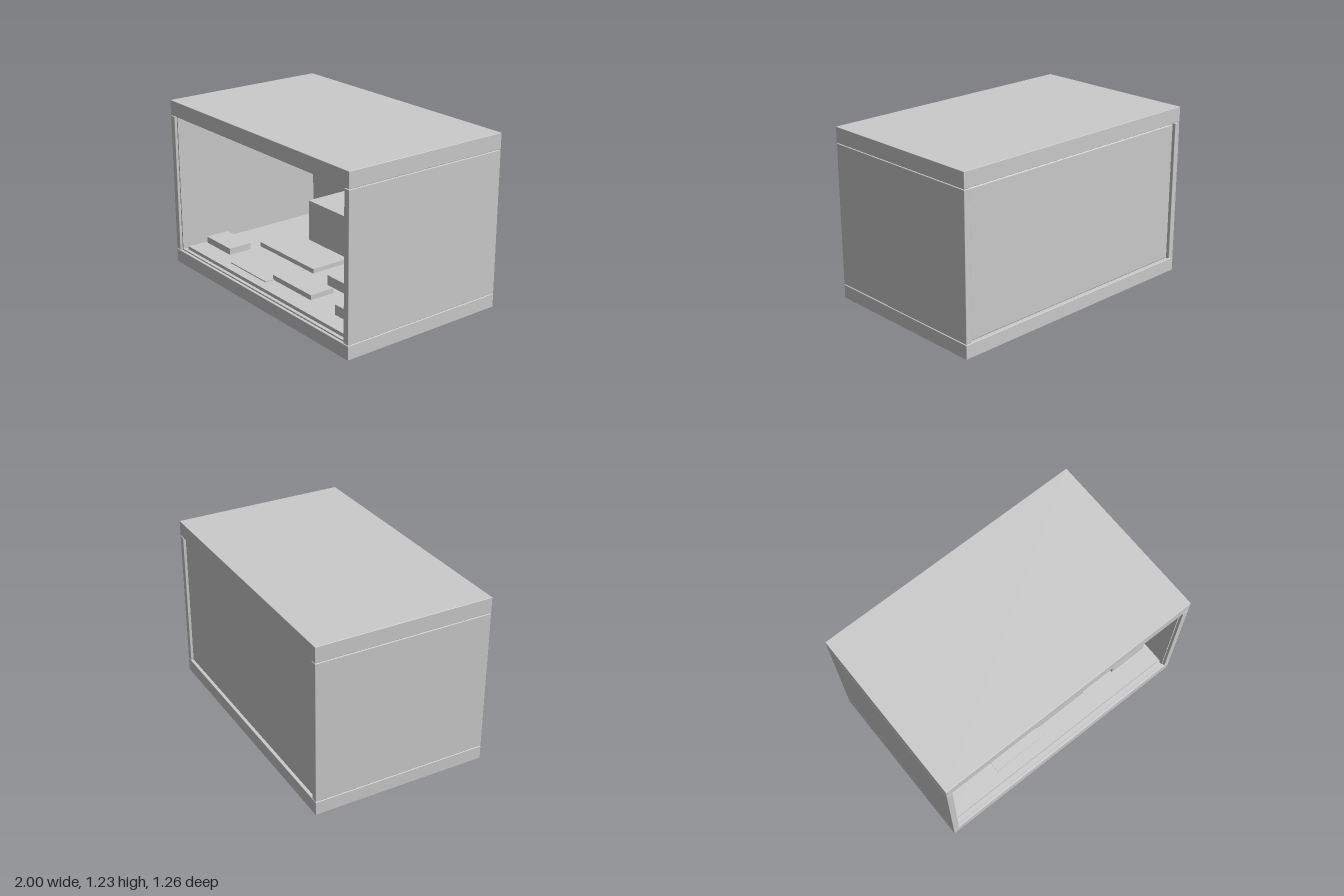
import * as THREE from 'three';
import { RoundedBoxGeometry } from 'three/addons/geometries/RoundedBoxGeometry.js';

export function createModel() {
  const group = new THREE.Group();
  const material = new THREE.MeshStandardMaterial({ color: 0xcccccc });

  const add = (name, geometry) => {
    const mesh = new THREE.Mesh(geometry, material);
    mesh.name = name;
    group.add(mesh);
    return mesh;
  };

  // Box given by its limits on each axis, with an optional rounded edge
  const box = (name, [x0, x1], [y0, y1], [z0, z1], radius = 0) => {
    const size = [x1 - x0, y1 - y0, z1 - z0];
    const geometry = radius
      ? new RoundedBoxGeometry(...size, 2, radius)
      : new THREE.BoxGeometry(...size);
    add(name, geometry).position.set((x0 + x1) / 2, (y0 + y1) / 2, (z0 + z1) / 2);
  };

  // Cabinet shell: base, roof and side walls with thin seams between them
  const depth = [-0.63, 0.63];
  box('base', [-1, 1], [0, 0.098], depth, 0.003);
  box('roof', [-1, 1], [1.12, 1.23], depth, 0.003);
  box('seamCore', [-0.99, -0.96], [0.09, 1.13], [-0.62, 0.62]);
  box('seamCore', [0.96, 0.99], [0.09, 1.13], [-0.62, 0.62]);
  for (const side of [-1, 1]) {
    const outer = side, inner = side * 0.955;
    box('sideWall', [Math.min(outer, inner), Math.max(outer, inner)], [0.103, 1.115], depth, 0.003);
  }

  // Recessed back panel with softened edges
  box('backPanel', [-0.95, 0.95], [0.105, 1.112], [-0.615, -0.59], 0.01);

  // Ceiling lining, lower at the back than at the front
  const ceiling = new THREE.Shape([
    new THREE.Vector2(-0.6, 1.04),
    new THREE.Vector2(0.58, 1.11),
    new THREE.Vector2(0.58, 1.125),
    new THREE.Vector2(-0.6, 1.125),
  ]);
  const lining = new THREE.ExtrudeGeometry(ceiling, { depth: 1.91, bevelEnabled: false });
  lining.rotateY(-Math.PI / 2);
  lining.translate(0.955, 0, 0);
  add('ceilingLining', lining);

  // Floor and the frame around the front opening
  box('floor', [-0.95, 0.95], [0.09, 0.112], [-0.6, 0.56]);
  box('frontRail', [-0.93, 0.93], [0.09, 0.125], [0.53, 0.575]);
  const frame = new THREE.Shape([
    new THREE.Vector2(-0.98, 0.03),
    new THREE.Vector2(0.98, 0.03),
    new THREE.Vector2(0.98, 1.2),
    new THREE.Vector2(-0.98, 1.2),
  ]);
  frame.holes.push(new THREE.Path([
    new THREE.Vector2(-0.945, 0.108),
    new THREE.Vector2(-0.945, 1.112),
    new THREE.Vector2(0.945, 1.112),
    new THREE.Vector2(0.945, 0.108),
  ]));
  const frameGeometry = new THREE.ExtrudeGeometry(frame, { depth: 0.025, bevelEnabled: false });
  frameGeometry.translate(0, 0, 0.585);
  add('frontFrame', frameGeometry);

  // Blocks and plates standing on the floor: name, x limits, top, z limits
  const contents = [
    ['tallBlock', [-0.5, -0.04], 0.43, [-0.59, -0.21]],
    ['mediumBlock', [0.06, 0.49], 0.35, [-0.59, -0.24]],
    ['leftBlock', [-0.93, -0.63], 0.16, [0.23, 0.41]],
    ['longPlate', [-0.63, 0.01], 0.145, [-0.17, 0.14]],
    ['thinPlate', [-0.5, -0.07], 0.12, [0.15, 0.49]],
    ['frontPlate', [-0.08, 0.35], 0.148, [0.23, 0.42]],
    ['wideBlock', [0.22, 0.8], 0.185, [-0.2, 0.18]],
    ['rightBlock', [0.62, 0.92], 0.185, [0.25, 0.43]],
  ];
  for (const [name, x, top, z] of contents) box(name, x, [0.1, top], z);

  // Thin shelf on the back panel
  box('shelf', [0.38, 0.89], [0.698, 0.711], [-0.6, -0.28]);

  return group;
}
